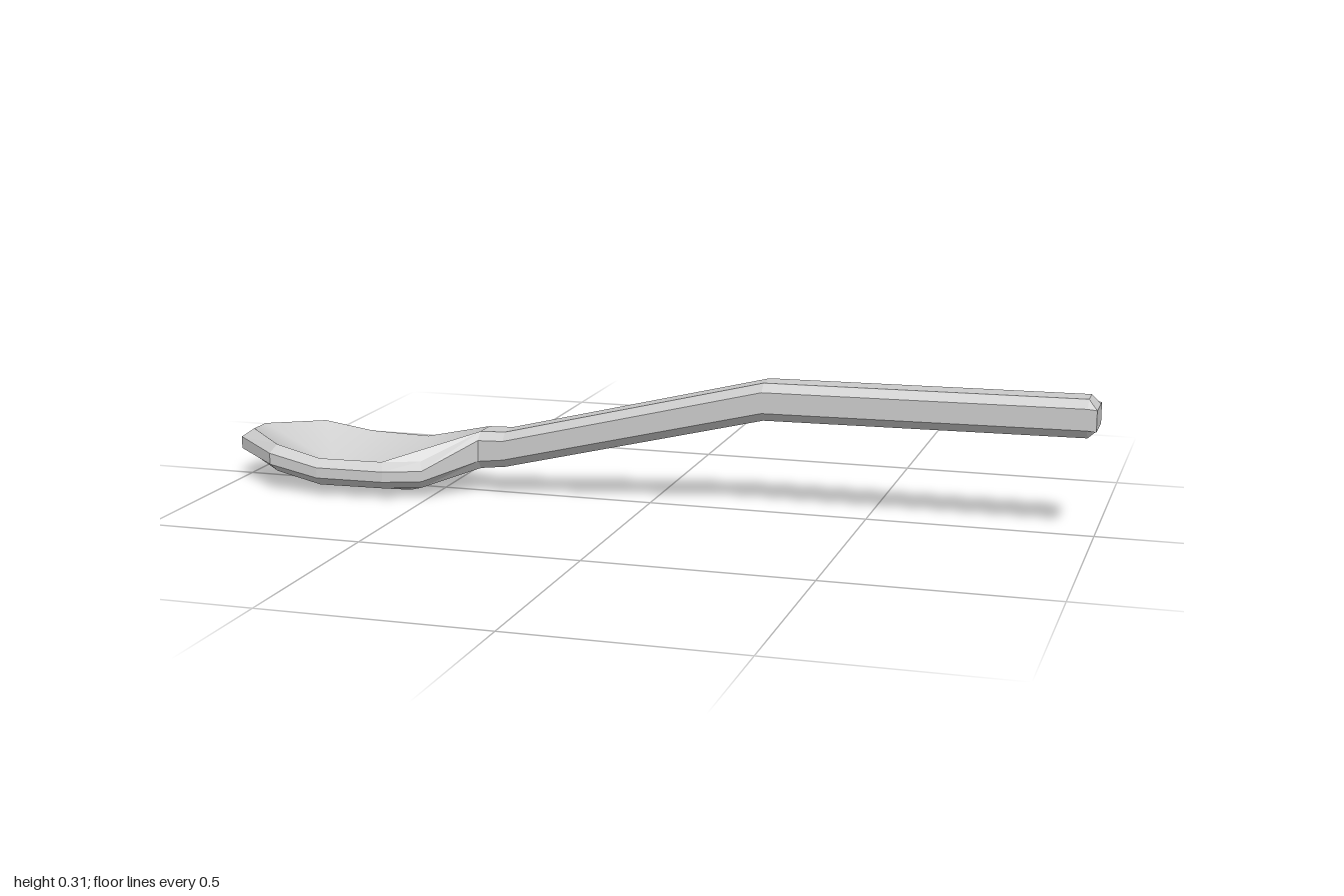
import * as THREE from 'three';
import { mergeVertices } from 'three/addons/utils/BufferGeometryUtils.js';

// Skin a grid of points: rows run along one direction, each row may be a closed ring
function skin(name, rows, { closed = false, flat = true, twoSided = false } = {}) {
  const n = rows[0].length, pos = [];
  const tri = (a, b, c) => {
    const [A, B, C] = [a, b, c].map(p => new THREE.Vector3(...p));
    if (new THREE.Triangle(A, B, C).getArea() > 1e-7) pos.push(...a, ...b, ...c);
  };
  for (let i = 0; i < rows.length - 1; i++) {
    for (let j = 0; j < (closed ? n : n - 1); j++) {
      const k = (j + 1) % n;
      const a = rows[i][j], b = rows[i][k], c = rows[i + 1][k], d = rows[i + 1][j];
      tri(a, b, c);
      tri(a, c, d);
    }
  }
  let geo = new THREE.BufferGeometry();
  geo.setAttribute('position', new THREE.Float32BufferAttribute(pos, 3));
  if (!flat) geo = mergeVertices(geo);
  geo.computeVertexNormals();
  const mesh = new THREE.Mesh(geo, new THREE.MeshStandardMaterial({
    color: 0xcccccc, flatShading: flat, side: twoSided ? THREE.DoubleSide : THREE.FrontSide,
  }));
  mesh.name = name;
  return mesh;
}

// Extend a half loop on +z to the full loop around the bowl
const mirror = half => [...half, ...half.map(([x, y, z]) => [x, y, -z]).reverse()];

// Bowl stations from neck to tip: outer x, outer z, inner x, inner z, top y, thickness
const stations = [
  [-0.40, 0.047, -0.40, 0.028, 0.147, 0.087],
  [-0.505, 0.135, -0.515, 0.115, 0.087, 0.062],
  [-0.59, 0.163, -0.60, 0.141, 0.086, 0.062],
  [-0.75, 0.172, -0.75, 0.152, 0.087, 0.062],
  [-0.875, 0.155, -0.865, 0.135, 0.109, 0.064],
  [-1.0, 0.047, -0.975, 0.030, 0.117, 0.066],
];

// Handle cross-section with chamfered corners
const section = (x, top, bottom, upper = top - 0.018, lower = bottom + 0.02) => [
  [x, top, -0.028], [x, top, 0.028], [x, upper, 0.047], [x, lower, 0.047],
  [x, bottom, 0.028], [x, bottom, -0.028], [x, lower, -0.047], [x, upper, -0.047],
];

export function createModel() {
  const group = new THREE.Group();

  // Handle, with a bevelled end
  group.add(skin('handle', [
    section(-0.40, 0.147, 0.06),
    section(-0.34, 0.149, 0.067),
    section(0.27, 0.30, 0.215),
    section(0.98, 0.307, 0.222),
    section(1.0, 0.287, 0.24, 0.287, 0.24),
    Array(8).fill([1.0, 0.2635, 0]),
  ], { closed: true }));

  // Rim band around the bowl
  const innerTop = mirror(stations.map(([, , x, z, t]) => [x, t, z]));
  const outerTop = mirror(stations.map(([x, z, , , t]) => [x, t - 0.018, z]));
  const outerLow = mirror(stations.map(([x, z, , , t, h]) => [x, t - h + 0.02, z]));
  const innerLow = mirror(stations.map(([, , x, z, t, h]) => [x, t - h, z]));
  group.add(skin('rim', [innerTop, outerTop, outerLow, innerLow]));

  // Flat floor loop shared by the underside and the hollow
  const floor = (y, z) => mirror(stations.map((s, i) => [i < 3 ? -0.57 : -0.8, y, z]));

  // Underside
  group.add(skin('bowlUnderside', [innerLow, floor(0, 0.047), floor(0, 0)],
    { closed: true, flat: false }));

  // Hollow, running straight from the neck to the third station
  const skipShoulder = loop => loop.filter((p, i) => i !== 1 && i !== 10);
  group.add(skin('bowlHollow',
    [floor(0.025, 0), floor(0.025, 0.04), innerTop].map(skipShoulder),
    { closed: true, flat: false }));

  // Small webs between the neck and the rim
  for (const side of [1, -1]) {
    const [neck, shoulder, cheek] = innerTop.slice(0, 3).map(([x, y, z]) => [x, y, z * side]);
    group.add(skin(side > 0 ? 'leftNeckWeb' : 'rightNeckWeb',
      [[neck, cheek], [shoulder, shoulder]], { twoSided: true }));
  }
  return group;
}
